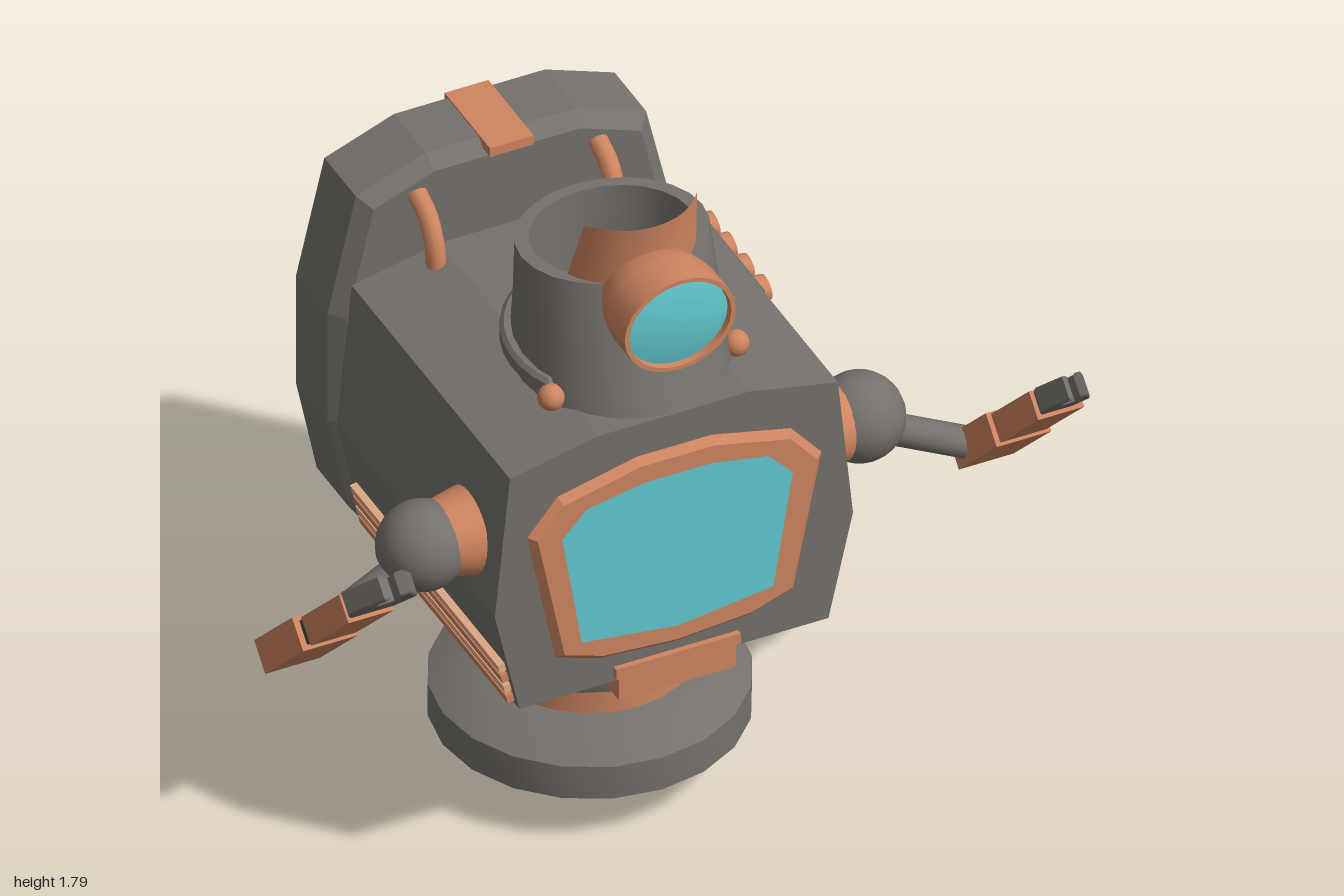
import * as THREE from 'three';
import { toCreasedNormals } from 'three/addons/utils/BufferGeometryUtils.js';

const mat = (name, color, side = THREE.FrontSide) => {
  const m = new THREE.MeshStandardMaterial({ color, side });
  m.name = name;
  return m;
};

export function createModel() {
  const grey = mat('grey metal', 0x75716c, THREE.DoubleSide);
  const dark = mat('dark grey', 0x4e4b48);
  const orange = mat('copper', 0xcf8560, THREE.DoubleSide);
  const pale = mat('pale copper', 0xe6ae88);
  const teal = mat('teal glass', 0x62cad0);
  const root = new THREE.Group();
  root.name = 'robot';

  const add = (name, geo, m, parent = root, x = 0, y = 0, z = 0) => {
    const mesh = new THREE.Mesh(geo, m);
    mesh.name = name;
    mesh.position.set(x, y, z);
    parent.add(mesh);
    return mesh;
  };
  const box = (name, m, parent, x, y, z, w, h, d) =>
    add(name, new THREE.BoxGeometry(w, h, d), m, parent, x, y, z);
  const crease = (g, a = 0.6) => toCreasedNormals(g, a);
  const lathe = (pts, n = 24) =>
    crease(new THREE.LatheGeometry(pts.map(p => new THREE.Vector2(...p)), n));
  const cyl = (r0, r1, h, n = 24) => crease(new THREE.CylinderGeometry(r0, r1, h, n));
  // outline given as its right half, top to bottom, then mirrored
  const mirrored = half => new THREE.Shape([
    ...half.map(([x, y]) => new THREE.Vector2(x, y)),
    ...half.filter(p => p[0] > 0).reverse().map(([x, y]) => new THREE.Vector2(-x, y))]);
  const extrude = (shape, depth, bevel = 0) => new THREE.ExtrudeGeometry(shape, {
    depth: depth - 2 * bevel, bevelEnabled: bevel > 0, bevelThickness: bevel,
    bevelSize: bevel, bevelOffset: -bevel, bevelSegments: 1, curveSegments: 12 });
  // skin closed rings of [x, y, z] points, with both ends capped
  const loft = (rings, angle) => {
    const pos = [], n = rings[0].length;
    const mid = r => [0, 1, 2].map(k => r.reduce((s, p) => s + p[k], 0) / n);
    const first = rings[0], last = rings[rings.length - 1];
    const c0 = mid(first), c1 = mid(last);
    for (let j = 0; j < n; j++) {
      const k = (j + 1) % n;
      for (let i = 0; i + 1 < rings.length; i++) {
        const a = rings[i], b = rings[i + 1];
        pos.push(...a[j], ...a[k], ...b[k], ...a[j], ...b[k], ...b[j]);
      }
      pos.push(...c0, ...first[k], ...first[j], ...c1, ...last[j], ...last[k]);
    }
    const g = new THREE.BufferGeometry();
    g.setAttribute('position', new THREE.Float32BufferAttribute(pos, 3));
    return crease(g, angle);
  };

  // body
  const bodyShape = mirrored([[0.2, 1.3], [0.435, 1.25], [0.475, 0.85], [0.41, 0.557]]);
  add('body', extrude(bodyShape, 0.855), grey, root, 0, 0, -0.435);

  // front screen and its frame
  const frame = mirrored([[0.1, 1.205], [0.31, 1.155], [0.39, 1.06], [0.315, 0.68], [0.2, 0.64], [0, 0.625]]);
  const glass = mirrored([[0.09, 1.155], [0.25, 1.125], [0.325, 1.045], [0.27, 0.7], [0, 0.665]]);
  frame.holes.push(new THREE.Path(glass.getPoints()));
  add('screenFrame', extrude(frame, 0.05, 0.018), orange, root, 0, 0, 0.408);
  add('screen', new THREE.ShapeGeometry(glass), teal, root, 0, 0, 0.424);
  box('chinBlock', orange, root, 0.005, 0.55, 0.315, 0.31, 0.095, 0.23);
  box('chinLip', orange, root, 0.005, 0.585, 0.37, 0.33, 0.03, 0.13);

  // waist, base and lower dome
  const cz = -0.035;
  add('waistCollar', lathe([[0, 0.41], [0.33, 0.41], [0.335, 0.44], [0.23, 0.56], [0, 0.56]]), grey, root, 0, 0, cz);
  add('waist', cyl(0.258, 0.258, 0.14), orange, root, 0, 0.35, cz);
  add('base', lathe([[0, 0.09], [0.14, 0.09], [0.21, 0.135], [0.39, 0.138], [0.39, 0.232], [0.27, 0.295], [0, 0.295]], 20), grey, root, 0, 0, cz);
  const dome = add('baseDome', new THREE.SphereGeometry(0.13, 24, 8, 0, Math.PI * 2, Math.PI / 2, Math.PI / 2), teal, root, 0, 0.1, cz);
  dome.scale.y = 0.1 / 0.13;

  // open head drum
  const ring = (y, z, rx, rz) => Array.from({ length: 24 }, (_, i) => {
    const a = i / 24 * Math.PI * 2;
    return [rx * Math.sin(a), y, z + rz * Math.cos(a)];
  });
  add('headDrum', loft([
    ring(1.29, 0.13, 0.26, 0.29), ring(1.46, 0.11, 0.25, 0.24), ring(1.62, 0.085, 0.24, 0.205),
    ring(1.62, 0.085, 0.205, 0.175), ring(1.34, 0.1, 0.205, 0.18)], 0.7), grey);
  const arc = new THREE.Shape();
  arc.absarc(0, 0, 0.28, -0.5, Math.PI + 0.5, false);
  arc.absarc(0, 0, 0.235, Math.PI + 0.5, -0.5, true);
  const collar = add('headCollar', crease(extrude(arc, 0.05, 0.01)), grey, root, 0, 1.325, 0.11);
  collar.rotation.x = -Math.PI / 2 + 0.06;
  for (const s of [-1, 1])
    add('collarBolt', new THREE.SphereGeometry(0.034, 12, 8), orange, root, s * 0.245, 1.32, 0.255);

  // curved eye mount rising out of the drum
  const mount = [], mountIndex = [], M = 12;
  [[1.34, 0.195, 0.09, 1.45], [1.62, 0.19, 0.11, 1.12], [1.79, 0.18, 0.14, 0.98]].forEach(([y, r, z, h], i) => {
    for (let j = 0; j <= M; j++) {
      const a = h * (j / M * 2 - 1), k = i * (M + 1) + j;
      mount.push(r * Math.sin(a), y, z + r * Math.cos(a));
      if (i < 2 && j < M) mountIndex.push(k, k + 1, k + M + 2, k, k + M + 2, k + M + 1);
    }
  });
  const mountGeo = new THREE.BufferGeometry();
  mountGeo.setAttribute('position', new THREE.Float32BufferAttribute(mount, 3));
  mountGeo.setIndex(mountIndex);
  mountGeo.computeVertexNormals();
  add('eyeMount', mountGeo, orange);

  // eye, slightly wider than tall
  const eye = new THREE.Group();
  eye.name = 'eye';
  eye.position.set(0, 1.588, 0.26);
  eye.rotation.x = Math.PI / 2;
  eye.scale.x = 1.12;
  root.add(eye);
  add('eyeHousing', lathe([[0.1, 0], [0.122, 0.05], [0.132, 0.1], [0.132, 0.195], [0.121, 0.195], [0.119, 0.175]]), orange, eye);
  add('eyeLens', lathe([[0.121, 0.178], [0.08, 0.188], [0, 0.192]]), teal, eye);

  // tilted frames lying on the side walls
  const wall = (name, s, lean) => {
    const g = new THREE.Group();
    g.name = name;
    g.position.set(s * 0.475, 0.85, 0);
    g.rotation.z = s * lean;
    root.add(g);
    return g;
  };
  const upper = wall('upperControls', 1, 0.1), lower = wall('lowerControls', 1, -0.218);
  box('upperPanel', grey, upper, 0.005, 0.19, -0.22, 0.02, 0.38, 0.42);
  box('lowerPanel', grey, lower, 0.003, -0.15, -0.22, 0.016, 0.29, 0.42);
  box('panelSeam', dark, upper, 0, 0.15, -0.004, 0.012, 0.3, 0.012);
  box('panelSeam', dark, lower, 0, -0.15, -0.004, 0.012, 0.3, 0.012);
  for (const z of [-0.075, -0.168, -0.262, -0.355])
    add('buttonLight', cyl(0.032, 0.039, 0.04, 16), orange, upper, 0.027, 0.332, z).rotation.z = -Math.PI / 2;
  for (let i = 0; i < 3; i++) box('grilleBar', dark, upper, 0.016, 0.165 + i * 0.045, -0.22, 0.01, 0.008, 0.4);
  for (let i = 0; i < 8; i++) box('grilleBar', dark, upper, 0.016, 0.21, -0.025 - i * 0.0557, 0.01, 0.09, 0.008);
  box('ventBack', dark, upper, 0.016, 0.068, -0.22, 0.008, 0.116, 0.4);
  for (let i = 0; i < 4; i++) box('ventSlat', i % 2 ? pale : orange, upper, 0.022, 0.025 + i * 0.029, -0.22, 0.018, 0.021, 0.4);

  // small side monitor
  const monitor = (y0, y1, z0, z1) => new THREE.Shape([
    [-z0, y1], [-z0 + 0.004, y0], [-z1 - 0.02, y0], [-z1, y1]].map(p => new THREE.Vector2(...p)));
  const plate = (name, m, x, d, ...b) =>
    add(name, extrude(monitor(...b), d), m, lower, x, 0, 0).rotation.y = Math.PI / 2;
  plate('monitorFrame', dark, 0.01, 0.006, -0.262, -0.04, -0.04, -0.385);
  plate('monitorGlass', teal, 0.014, 0.006, -0.245, -0.057, -0.06, -0.37);
  for (let i = 0; i < 3; i++) box('knob', dark, lower, 0.014, -0.06 - i * 0.03, -0.402, 0.014, 0.016, 0.014);

  // long vents on the other side
  const vents = wall('sideVents', -1, -0.218);
  for (let i = 0; i < 4; i++)
    box('sideVentSlat', i % 2 ? pale : orange, vents, -0.006, -0.275 + i * 0.033, 0.0, 0.024, 0.024, 0.8);

  // arms
  const claw = mirrored([[0.035, 0.2], [0.092, 0.085], [0.06, 0]]);
  const clawPoints = claw.getPoints().slice(0, 6);
  const forked = new THREE.Shape([...clawPoints,
    ...[[-0.012, 0.185], [-0.03, 0.145], [-0.022, 0.11], [0.022, 0.11], [0.03, 0.145], [0.012, 0.185]].map(p => new THREE.Vector2(...p))]);
  for (const s of [-1, 1]) {
    const arm = new THREE.Group();
    arm.name = s > 0 ? 'leftArm' : 'rightArm';
    root.add(arm);
    add('shoulderWasher', cyl(0.095, 0.112, 0.08), orange, arm, s * 0.495, 0.985, 0.24).rotation.z = -s * Math.PI / 2;
    add('shoulderBall', new THREE.SphereGeometry(0.113, 20, 14), grey, arm, s * 0.58, 0.98, 0.24);
    const rod = add('upperArm', cyl(0.04, 0.04, 0.34, 12), grey, arm, s * 0.745, 0.873, 0.24);
    rod.rotation.z = s * 1.08 - Math.PI;
    const fore = new THREE.Group();
    fore.name = 'forearm';
    fore.position.set(s * 0.92, 0.79, 0.235);
    fore.rotation.x = Math.PI / 4;
    arm.add(fore);
    box('forearmLower', orange, fore, 0, 0.1, 0, 0.145, 0.29, 0.085);
    box('forearmJoint', dark, fore, 0, 0.25, 0, 0.115, 0.03, 0.06);
    box('forearmUpper', orange, fore, -s * 0.005, 0.405, 0, 0.122, 0.29, 0.072);
    const hand = add('hand', extrude(forked, 0.06, 0.004), grey, fore, -s * 0.012, 0.545, -0.03);
    if (s > 0) hand.scale.set(0.7, 0.85, 1);
  }

  // backpack
  const pack = mirrored([[0.2, 1.515], [0.385, 1.445], [0.46, 1.12], [0.46, 0.8], [0.405, 0.53], [0.33, 0.42], [0.2, 0.38]]);
  add('backpack', extrude(pack, 0.24, 0.035), grey, root, 0, 0, -0.685);
  // each flap is skinned from rows of [height, half width, depth]
  const flap = rows => loft(rows.map(([y, w, z]) => [
    [w, y, -0.64], [w, y, Math.min(z + 0.04, -0.65)], [w * 0.5, y, z],
    [-w * 0.5, y, z], [-w, y, Math.min(z + 0.04, -0.65)], [-w, y, -0.64]]), 0.1);
  add('upperFlap', flap([[0.945, 0.385, -0.695], [1.06, 0.4, -0.742], [1.215, 0.385, -0.712],
    [1.22, 0.38, -0.725], [1.36, 0.35, -0.695], [1.43, 0.29, -0.67]]), orange);
  add('lowerFlap', flap([[0.4, 0.25, -0.69], [0.445, 0.31, -0.76], [0.56, 0.37, -0.75],
    [0.77, 0.395, -0.715], [0.775, 0.395, -0.728], [0.86, 0.39, -0.71], [0.92, 0.35, -0.685]]), orange);
  box('packStrap', orange, root, 0, 1.507, -0.57, 0.116, 0.026, 0.23);
  box('strapTail', orange, root, 0, 1.45, -0.69, 0.116, 0.14, 0.022);
  box('strapClip', orange, root, 0, 1.4, -0.7, 0.14, 0.04, 0.03);

  // hoses from body to backpack
  for (const s of [-1, 1]) {
    const path = new THREE.CatmullRomCurve3([[1.26, -0.375], [1.34, -0.385], [1.4, -0.42], [1.43, -0.48]]
      .map(([y, z]) => new THREE.Vector3(s * 0.24, y, z)));
    add('hose', new THREE.TubeGeometry(path, 12, 0.025, 10), orange);
  }
  return root;
}
